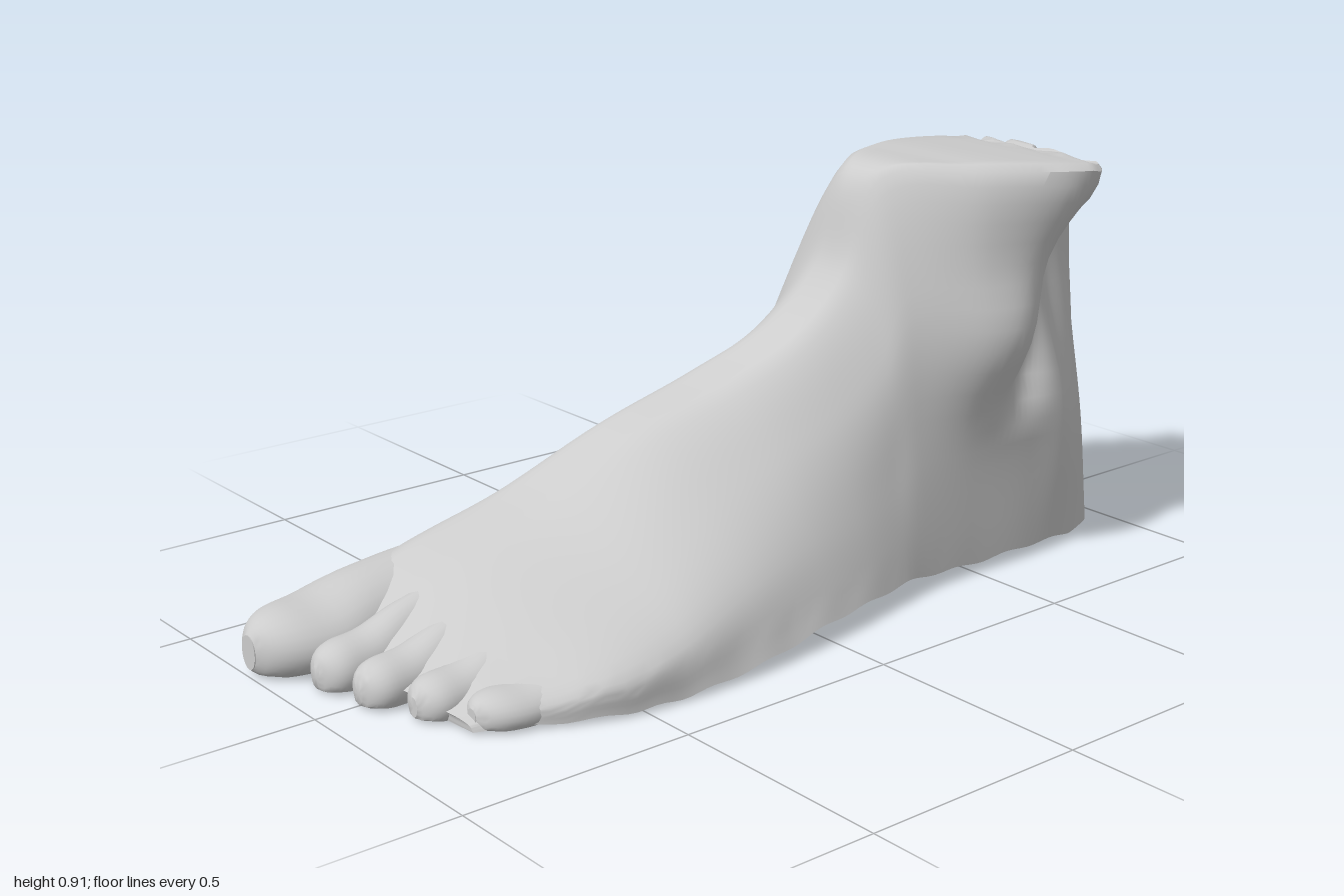
import * as THREE from 'three';
import { toCreasedNormals } from 'three/addons/utils/BufferGeometryUtils.js';

const material = new THREE.MeshStandardMaterial({ color: 0xcccccc });
const smooth = THREE.MathUtils.smoothstep;
const lerp = THREE.MathUtils.lerp;
const bell = (v, centre, width) => Math.exp(-(((v - centre) / width) ** 2));

// Skin a list of closed rings (inner side, over the top, outer side) running along +x, with end caps.
function loft(rings) {
  const n = rings[0].length, pos = [], index = [];
  rings.forEach(r => r.forEach(p => pos.push(p.x, p.y, p.z)));
  for (let i = 0; i < rings.length - 1; i++) {
    for (let j = 0; j < n; j++) {
      const a = i * n + j, b = i * n + (j + 1) % n;
      index.push(a, b, a + n, b, b + n, a + n);
    }
  }
  [0, rings.length - 1].forEach((row, end) => {
    const centre = rings[row].reduce((s, p) => s.add(p), new THREE.Vector3()).divideScalar(n);
    const c = pos.length / 3;
    pos.push(centre.x, centre.y, centre.z);
    for (let j = 0; j < n; j++) {
      const a = row * n + j, b = row * n + (j + 1) % n;
      index.push(c, ...(end ? [a, b] : [b, a]));
    }
  });
  const g = new THREE.BufferGeometry();
  g.setAttribute('position', new THREE.Float32BufferAttribute(pos, 3));
  g.setIndex(index);
  return toCreasedNormals(g, 0.75);
}

// Cross-sections: x, top height, four inner z values and four outer z values (sole to top).
const sections = [
  [-0.86, 0.05, -0.33, -0.33, -0.32, -0.27, 0.25, 0.24, 0.15, -0.10],
  [-0.64, 0.18, -0.375, -0.38, -0.35, -0.26, 0.36, 0.355, 0.17, -0.12],
  [-0.40, 0.275, -0.37, -0.37, -0.32, -0.22, 0.385, 0.36, 0.18, -0.08],
  [-0.20, 0.395, -0.345, -0.335, -0.265, -0.15, 0.38, 0.32, 0.15, -0.04],
  [0.00, 0.48, -0.31, -0.305, -0.225, -0.10, 0.35, 0.28, 0.16, 0.02],
  [0.15, 0.57, -0.28, -0.275, -0.20, -0.04, 0.32, 0.26, 0.18, 0.07],
  [0.26, 0.69, -0.265, -0.26, -0.18, -0.01, 0.295, 0.25, 0.20, 0.09],
  [0.335, 0.89, -0.25, -0.255, -0.16, 0.00, 0.28, 0.25, 0.21, 0.10],
  [0.48, 0.915, -0.23, -0.255, -0.195, -0.07, 0.27, 0.265, 0.29, 0.26],
  [0.66, 0.91, -0.205, -0.24, -0.195, -0.08, 0.27, 0.275, 0.31, 0.36],
  [0.79, 0.90, -0.18, -0.20, -0.15, -0.04, 0.26, 0.265, 0.20, 0.35],
  [0.835, 0.89, -0.155, -0.17, -0.12, -0.03, 0.245, 0.24, 0.155, 0.13],
  [0.94, 0.87, -0.095, -0.10, -0.06, -0.01, 0.195, 0.18, 0.13, 0.10],
  [0.995, 0.83, 0.02, 0.01, 0.02, 0.03, 0.11, 0.11, 0.10, 0.08],
];
const levels = [0, 0.33, 0.7, 1];

function footBody() {
  const around = 48, along = 120;
  // round each section into a ring
  const rings = sections.map(([x, top, ...z]) => {
    const base = 0.015 + 0.035 * smooth(x, -0.4, 0.05) - 0.02 * smooth(x, 0.25, 0.45) - 0.022 * smooth(x, 0.7, 0.95);
    const at = k => new THREE.Vector3(x, lerp(base, top, levels[k % 4]), z[k]);
    const curve = new THREE.CatmullRomCurve3([0, 1, 2, 3, 7, 6, 5, 4].map(at));
    return curve.getPoints(around).map(p => p.setY(THREE.MathUtils.clamp(p.y, base, top)));
  });
  // smooth lines running from toes to heel through matching ring points
  const lines = rings[0].map((_, j) => new THREE.CatmullRomCurve3(rings.map(r => r[j])));
  const dense = [];
  for (let i = 0; i <= along; i++) {
    dense.push(lines.map(line => {
      const p = line.getPoint(i / along);
      const { x, y } = p;
      // outer ankle bone, and the hollow that sweeps behind and under it
      const outer = smooth(p.z, 0.08, 0.24);
      const hollow = bell(x, 0.64 + 0.28 * (y - 0.38), 0.075)
        * smooth(y, 0.32, 0.45) * (1 - smooth(y, 0.68, 0.84));
      p.z += outer * (0.05 * bell(x, 0.53, 0.12) * bell(y, 0.54, 0.13) - 0.06 * hollow);
      // slanted toe line and leaning heel cord
      p.x += 0.2 * Math.max(0, p.z) * (1 - smooth(x, -0.75, -0.3));
      p.x -= 0.07 * smooth(x, 0.6, 0.95) * y;
      // uneven rim and sole edge
      p.y += 0.01 * Math.sin(x * 70 + p.z * 40) * smooth(x, 0.7, 0.85) * smooth(y, 0.75, 0.88);
      if (y < 0.08) p.y += 0.003 * Math.sin(x * 41 + p.z * 9);
      return p;
    }));
  }
  return loft(dense);
}

// Toe with a rounded tip, a flat underside and a soft knuckle; it sinks into the foot at its root.
function toeGeometry({ tip, base, z0, z1, width, h0, h1, nose }) {
  const rings = [], steps = 24, sides = 24;
  for (let i = 0; i <= steps; i++) {
    const t = Math.pow(i / steps, 1.8);
    const s = Math.min(1, t / nose);
    const round = Math.max(0.2, Math.pow(1 - (1 - s) ** 2.5, 0.5));
    const waist = 1 - 0.08 * bell(t, 0.5, 0.15) - 0.4 * smooth(t, 0.55, 1);
    const height = lerp(h0, h1, t) * (1 - 0.1 * bell(t, 0.25, 0.12));
    const ring = [];
    for (let j = 0; j < sides; j++) {
      const a = Math.PI - (j / sides) * Math.PI * 2;
      ring.push(new THREE.Vector3(
        lerp(tip, base, t),
        Math.max(0.012, height * (0.42 + 0.58 * Math.sqrt(round) * Math.sin(a))),
        lerp(z0, z1, t) + width * round * waist * Math.cos(a)));
    }
    rings.push(ring);
  }
  return loft(rings);
}

const toes = {
  bigToe: { tip: -1.0, base: -0.42, z0: -0.25, z1: -0.285, width: 0.128, h0: 0.14, h1: 0.19, nose: 0.38 },
  secondToe: { tip: -0.935, base: -0.5, z0: -0.105, z1: -0.12, width: 0.064, h0: 0.09, h1: 0.2, nose: 0.15 },
  thirdToe: { tip: -0.91, base: -0.48, z0: 0.01, z1: -0.01, width: 0.063, h0: 0.085, h1: 0.18, nose: 0.15 },
  fourthToe: { tip: -0.86, base: -0.44, z0: 0.125, z1: 0.105, width: 0.063, h0: 0.08, h1: 0.155, nose: 0.16 },
  littleToe: { tip: -0.8, base: -0.38, z0: 0.23, z1: 0.26, width: 0.07, h0: 0.075, h1: 0.11, nose: 0.25 },
};

export function createModel() {
  const group = new THREE.Group();
  group.name = 'foot';
  const add = (name, geometry) => {
    const mesh = new THREE.Mesh(geometry, material);
    mesh.name = name;
    group.add(mesh);
  };
  add('footAndAnkle', footBody());
  for (const [name, spec] of Object.entries(toes)) add(name, toeGeometry(spec));
  return group;
}
